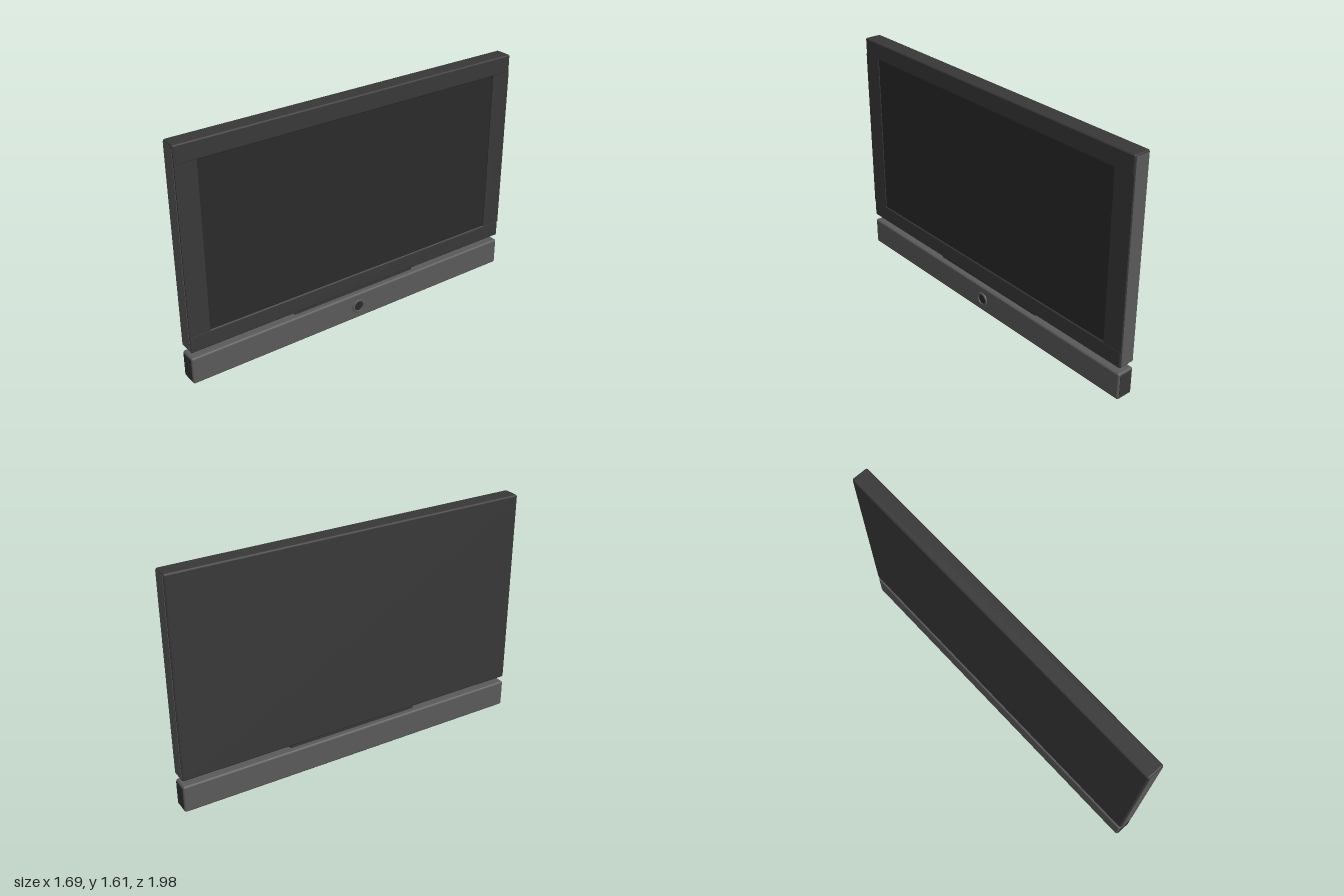
import * as THREE from 'three';
import { RoundedBoxGeometry } from 'three/addons/geometries/RoundedBoxGeometry.js';

const HALF = 1.25;   // half of the long side
const DEPTH = 0.12;

export function createModel() {
  const model = new THREE.Group();
  model.name = 'flatTelevision';

  const paint = (color) => new THREE.MeshStandardMaterial({ color });
  const dark = paint(0x383838);
  const silver = paint(0x5a5a5a);
  const glass = paint(0x2a2a2a);

  const add = (name, geometry, material, x, y, z) => {
    const mesh = new THREE.Mesh(geometry, material);
    mesh.name = name;
    mesh.position.set(x, y, z);
    model.add(mesh);
    return mesh;
  };
  // Box given by its y and z ranges, centred on x; radius rounds the edges
  const block = (name, material, width, [y0, y1], [z0, z1], radius = 0, x = 0) => {
    const size = [width, y1 - y0, z1 - z0];
    const geometry = radius
      ? new RoundedBoxGeometry(...size, 3, radius)
      : new THREE.BoxGeometry(...size);
    return add(name, geometry, material, x, (y0 + y1) / 2, (z0 + z1) / 2);
  };

  // Housing with plain back
  block('housing', dark, HALF * 2, [0.23, 1.61], [-0.06, 0.052], 0.014);

  // Bezel: two full-width rails and two stiles around the screen
  block('topRail', dark, HALF * 2, [1.485, 1.61], [-0.03, 0.06], 0.012);
  block('bottomRail', dark, HALF * 2, [0.23, 0.35], [-0.03, 0.06], 0.012);
  for (const side of [-1, 1]) {
    block(side > 0 ? 'leftStile' : 'rightStile', dark, 0.14, [0.34, 1.495], [0.02, 0.0585], 0, side * 1.179);
  }
  block('screen', glass, 2.24, [0.34, 1.495], [0.03, 0.053]);

  // Neck between the housing and the speaker bar
  block('neck', dark, 0.96, [0.17, 0.25], [-0.022, 0.022]);

  // Speaker bar
  block('speakerBar', silver, HALF * 2, [0, 0.19], [-DEPTH / 2, DEPTH / 2], 0.014);

  // End plates, in the opposite tone to the part they close
  for (const side of [-1, 1]) {
    block('housingEndPlate', silver, 0.01, [0.242, 1.598], [-0.049, 0.049], 0, side * (HALF - 0.003));
    block('barEndPlate', dark, 0.01, [0.014, 0.176], [-0.048, 0.048], 0, side * (HALF - 0.003));
  }

  // Round control: raised ring with a dark face set into it
  const profile = [[0.034, -0.004], [0.034, 0.006], [0.037, 0.009], [0.045, 0.009], [0.049, 0.005], [0.049, -0.004]]
    .map(([r, h]) => new THREE.Vector2(r, h));
  const ringMaterial = silver.clone();
  ringMaterial.side = THREE.DoubleSide;
  const ring = add('controlRing', new THREE.LatheGeometry(profile, 40), ringMaterial, 0, 0.095, 0.06);
  ring.rotation.x = Math.PI / 2;
  const face = add('controlFace', new THREE.CylinderGeometry(0.036, 0.036, 0.006, 40), glass, 0, 0.095, 0.0585);
  face.rotation.x = Math.PI / 2;

  // The whole set stands turned on the floor
  model.rotation.y = THREE.MathUtils.degToRad(50);
  const root = new THREE.Group();
  root.name = 'television';
  root.add(model);
  return root;
}
